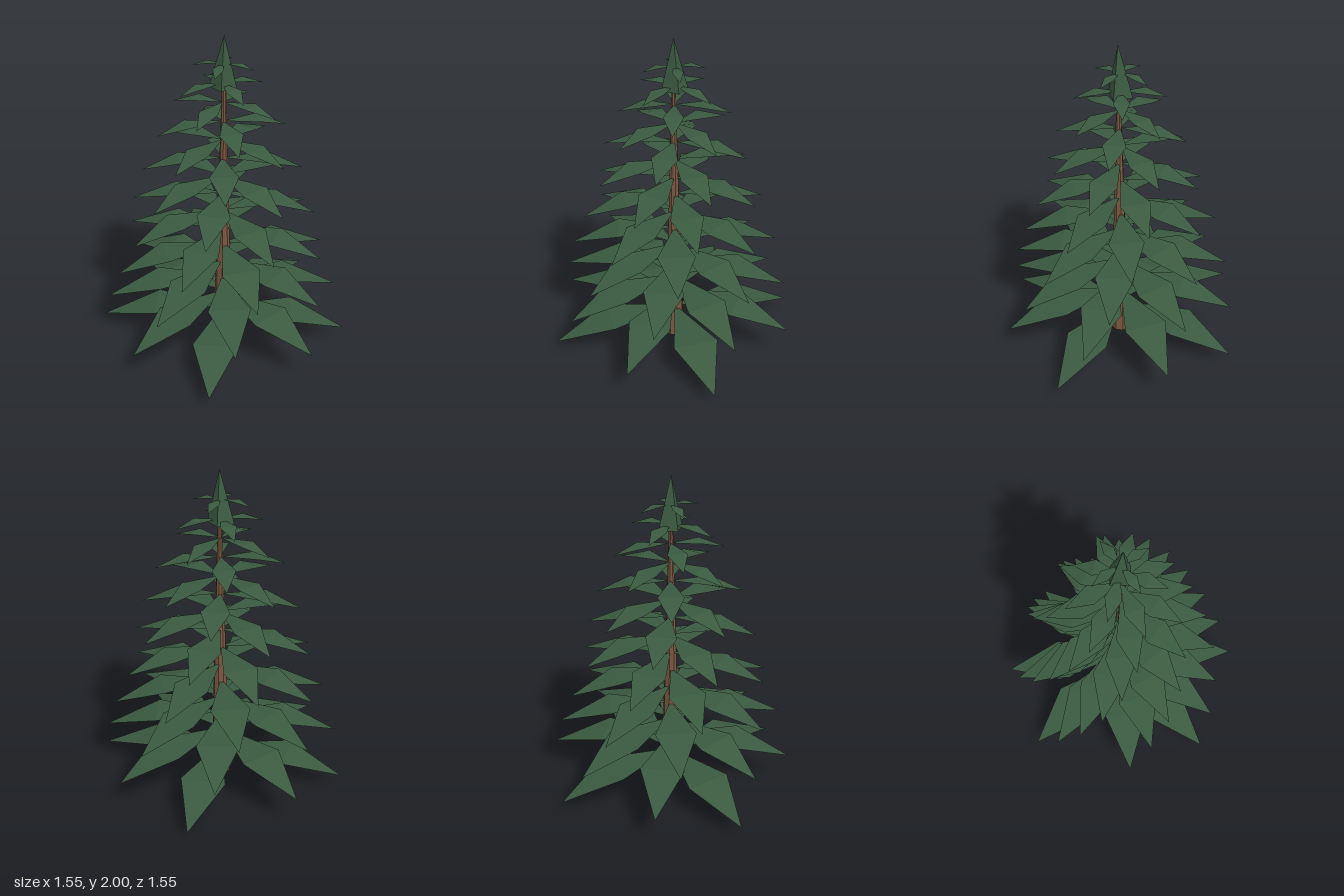
import * as THREE from 'three';

const TIERS = 15;
const TWIST = THREE.MathUtils.degToRad(50.86);
const LEAN = 0.01; // sideways drift of the tree top

// One bough of unit reach along +x: level inner panel, drooping pointed outer panel
function boughGeometry() {
  const mid = 0.55, half = 0.178, drop = 0.152;
  const geo = new THREE.BufferGeometry();
  geo.setAttribute('position', new THREE.Float32BufferAttribute([
    0, 0, 0,
    mid, 0, half,
    mid, 0, -half,
    1, -drop, 0,
  ], 3));
  geo.setIndex([0, 1, 2, 1, 3, 2]);
  const flat = geo.toNonIndexed();
  flat.computeVertexNormals();
  return flat;
}

// Cylinder or cone standing on its base, its upper end shifted to follow the lean
function leaningCone(topR, bottomR, y0, y1, sides, shift0, shift1, open) {
  const geo = new THREE.CylinderGeometry(topR, bottomR, y1 - y0, sides, 1, open);
  geo.translate(0, (y0 + y1) / 2, 0);
  const p = geo.attributes.position;
  for (let i = 0; i < p.count; i++) {
    const t = (p.getY(i) - y0) / (y1 - y0);
    const s = THREE.MathUtils.lerp(shift0, shift1, t);
    p.setX(i, p.getX(i) + s);
    p.setZ(i, p.getZ(i) + s);
  }
  geo.computeVertexNormals();
  return geo;
}

export function createModel() {
  const tree = new THREE.Group();
  tree.name = 'firTree';

  const bark = new THREE.MeshStandardMaterial({ color: 0x7a5640, flatShading: true });
  const needles = new THREE.MeshStandardMaterial({
    color: 0x3a5a40, flatShading: true, side: THREE.DoubleSide,
  });

  // Tapering trunk
  const trunk = new THREE.Mesh(leaningCone(0.004, 0.06, 0, 1.98, 8, 0, LEAN, false), bark);
  trunk.name = 'trunk';
  tree.add(trunk);

  // Tiers of four boughs, each tier shorter and turned from the one below
  const bough = boughGeometry();
  for (let i = 0; i < TIERS; i++) {
    const tier = new THREE.Group();
    tier.name = `boughTier${i + 1}`;
    const reach = 0.775 * Math.pow(1 - i / TIERS, 0.53);
    tier.position.y = 0.2 + 0.1165 * i;
    for (let k = 0; k < 4; k++) {
      const mesh = new THREE.Mesh(bough, needles);
      mesh.name = 'bough';
      mesh.scale.setScalar(reach);
      mesh.rotation.y = i * TWIST + k * Math.PI / 2;
      tier.add(mesh);
    }
    tree.add(tier);
  }

  // Pointed crown
  const crown = new THREE.Mesh(leaningCone(0, 0.08, 1.69, 2, 4, 0, LEAN, true), needles);
  crown.name = 'crown';
  tree.add(crown);

  return tree;
}
